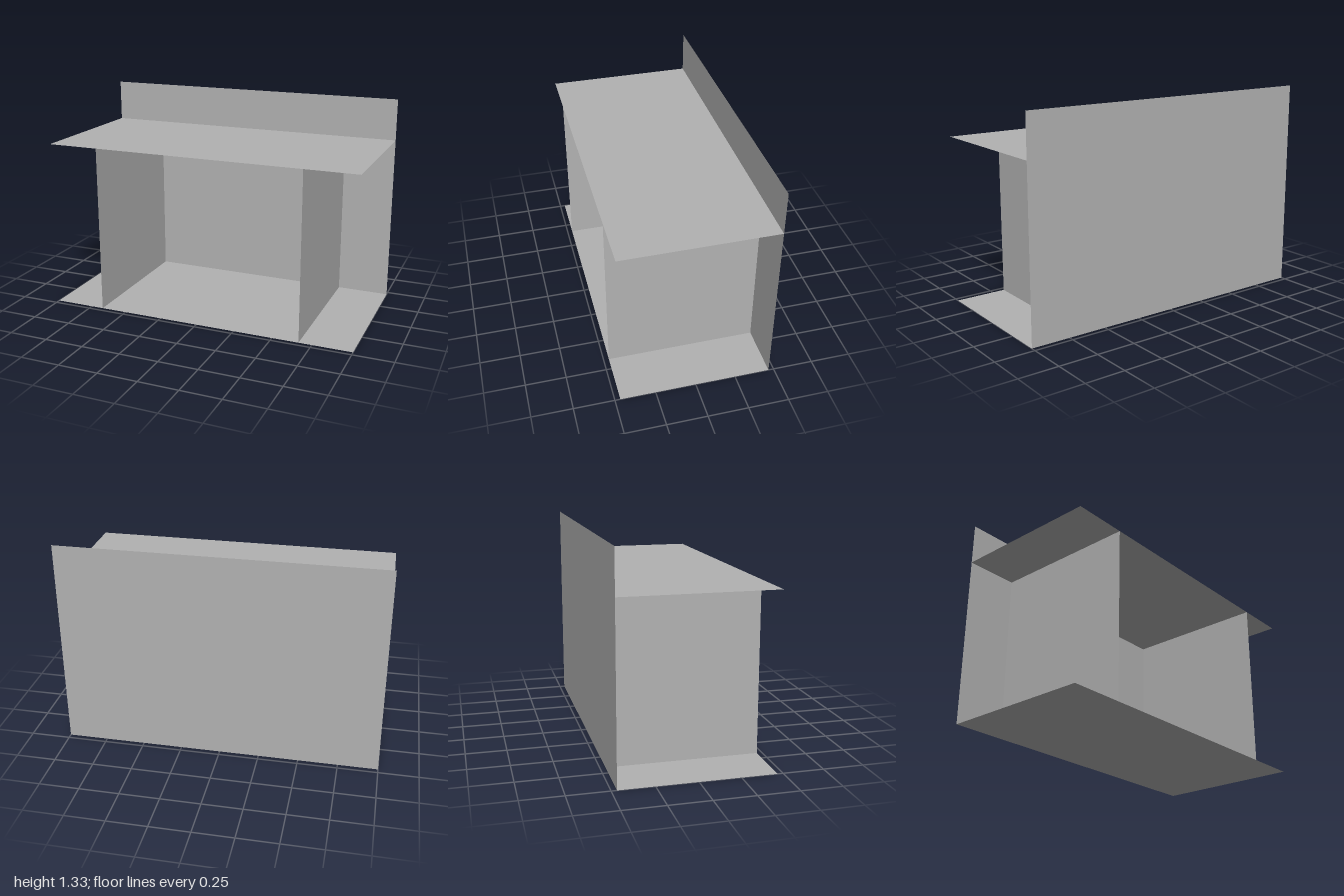
import * as THREE from 'three';

export function createModel() {
  const W = 2, D = 0.934, H = 1.334, SHELF = 1.068, DIVIDER_X = 0.668;

  const grey = new THREE.MeshStandardMaterial({ color: 0xb2b2b2, side: THREE.DoubleSide });
  grey.name = 'grey';

  const group = new THREE.Group();
  group.name = 'shelfUnit';

  // Thin sheet panel, placed by its centre
  function panel(name, w, h, position, rotation = [0, 0, 0]) {
    const mesh = new THREE.Mesh(new THREE.PlaneGeometry(w, h), grey);
    mesh.name = name;
    mesh.position.set(...position);
    mesh.rotation.set(...rotation);
    group.add(mesh);
  }

  // Back sheet, rising above the top shelf
  panel('backPanel', W, H, [0, H / 2, -D / 2], [0, Math.PI, 0]);

  // Horizontal shelves
  panel('bottomShelf', W, D, [0, 0, 0], [-Math.PI / 2, 0, 0]);
  panel('topShelf', W, D, [0, SHELF, 0], [-Math.PI / 2, 0, 0]);

  // Upright dividers, inset from both ends
  for (const [name, side] of [['leftDivider', 1], ['rightDivider', -1]]) {
    panel(name, D, SHELF, [side * DIVIDER_X, SHELF / 2, 0], [0, side * Math.PI / 2, 0]);
  }

  return group;
}
